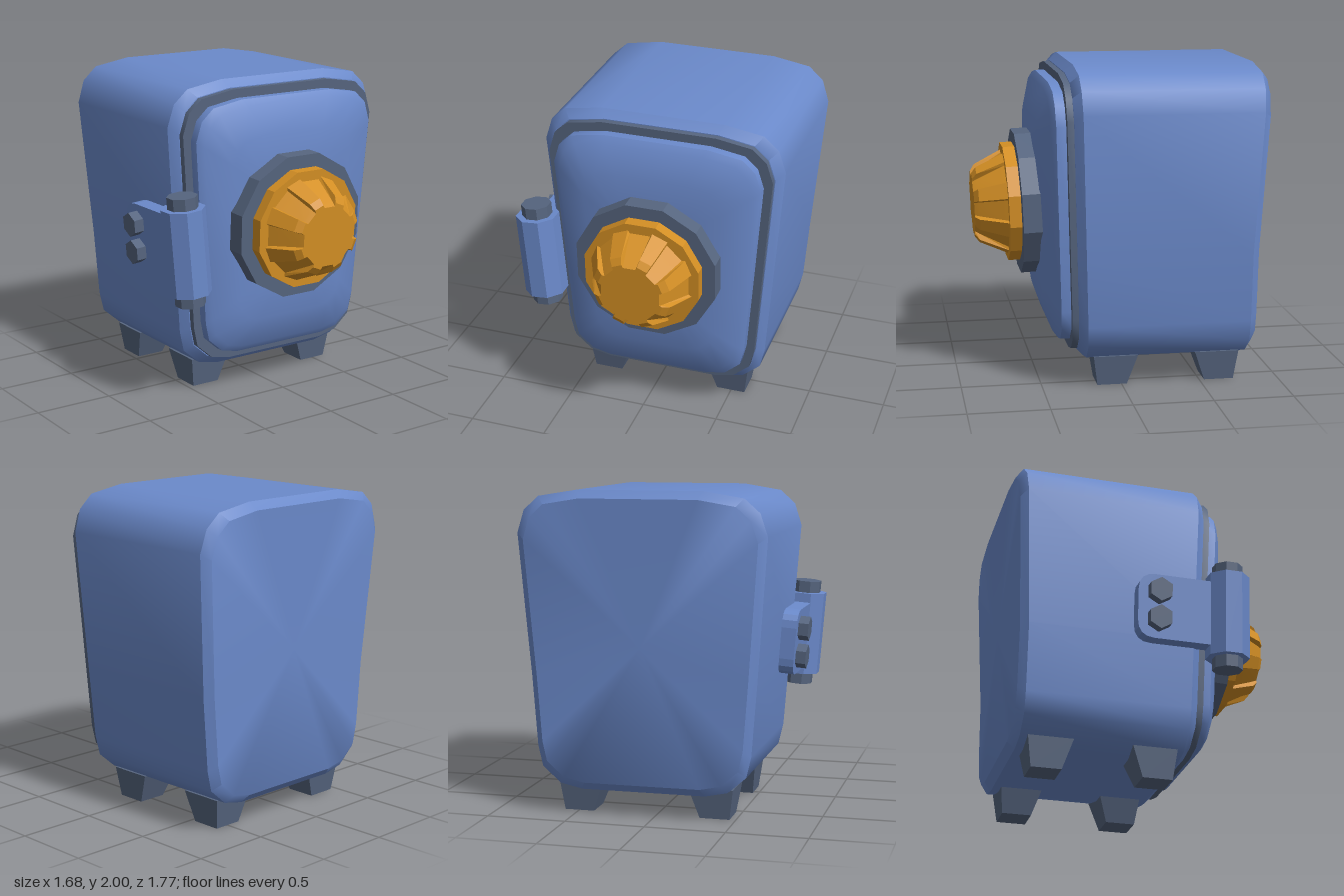
import * as THREE from 'three';
import { toCreasedNormals } from 'three/addons/utils/BufferGeometryUtils.js';

const CX = 0.065, CY = 1.0775;

// Right half of the rounded, tapering cabinet outline (x from the centre line, y), bottom to top
const HALF = [
  [0.39, 0.155], [0.53, 0.185], [0.645, 0.285], [0.675, 0.415], [0.708, 0.85],
  [0.775, 1.735], [0.73, 1.875], [0.635, 1.96], [0.39, 2.0],
];
const OUTLINE = [...HALF, ...HALF.map(([x, y]) => [-x, y]).reverse()];

// The front leans back towards the bottom; the back bends in below the top
const frontLean = (y) => -0.055 * (1.95 - y) / 1.75;
const backLean = (y) => 0.05 * Math.min(1, (1.95 - y) / 1.1);

// Outline inset by d at depth z
function ring(d, z, lean = frontLean) {
  return OUTLINE.map(([px, py]) => {
    const x = CX + px * (0.775 - d) / 0.775;
    const y = CY + (py - CY) * (0.9225 - d) / 0.9225;
    return [x, y, z + lean(y)];
  });
}

// Skin a list of rings running from back to front, closing both ends
function loft(rings, crease) {
  const n = rings[0].length, pos = rings.flat(2), idx = [];
  rings.slice(1).forEach((_, s) => {
    for (let i = 0; i < n; i++) {
      const j = (i + 1) % n, a = s * n, b = a + n;
      idx.push(a + i, a + j, b + j, a + i, b + j, b + i);
    }
  });
  [rings[0], rings[rings.length - 1]].forEach((r, end) => {
    const c = pos.length / 3, base = end ? (rings.length - 1) * n : 0;
    pos.push(...[0, 1, 2].map((k) => r.reduce((sum, p) => sum + p[k], 0) / n));
    for (let i = 0; i < n; i++) {
      const j = (i + 1) % n;
      if (end) idx.push(c, base + i, base + j);
      else idx.push(c, base + j, base + i);
    }
  });
  const g = new THREE.BufferGeometry();
  g.setAttribute('position', new THREE.Float32BufferAttribute(pos, 3));
  g.setIndex(idx);
  g.computeVertexNormals();
  return toCreasedNormals(g, crease);
}

export function createModel() {
  const paint = (name, color) => {
    const m = new THREE.MeshStandardMaterial({ color });
    m.name = name;
    return m;
  };
  const blue = paint('blue paint', 0x6b8acb);
  const steel = paint('dark steel', 0x56657f);
  const gold = paint('gold', 0xd48f24);

  const model = new THREE.Group();
  model.name = 'safe';
  const add = (parent, name, geometry, material) => {
    const mesh = new THREE.Mesh(geometry, material);
    mesh.name = name;
    parent.add(mesh);
    return mesh;
  };
  const group = (name, x, y, z) => {
    const g = new THREE.Group();
    g.name = name;
    g.position.set(x, y, z);
    model.add(g);
    return g;
  };
  const prism = (r, h, sides) => toCreasedNormals(
    new THREE.CylinderGeometry(r, r, h, sides).rotateY(Math.PI / sides), 0.2);

  // Cabinet with bevelled front and back edges
  add(model, 'cabinet', loft([
    ring(0.05, -0.885, backLean), ring(0, -0.84, backLean), ring(0, 0.28), ring(0.05, 0.33),
  ], 0.68), blue);

  // Dark frame and domed door
  add(model, 'doorFrame', loft([ring(0.055, 0.31), ring(0.055, 0.37)], 0.68), steel);
  add(model, 'door', loft([
    ring(0.11, 0.35), ring(0.11, 0.43), ring(0.15, 0.46), ring(0.33, 0.52), ring(0.55, 0.53),
  ], 0.68), blue);

  // Dial: backing plate, gold collar and fluted knob
  const dial = group('dial', 0.057, 1.09, 0.6);
  dial.rotation.x = 0.04;
  const disc = (name, r, z0, z1, material) => add(dial, name,
    prism(r, z1 - z0, 12).rotateX(Math.PI / 2).translate(0, 0, (z0 + z1) / 2), material);
  disc('dialPlate', 0.465, -0.16, 0, steel);
  disc('dialCollar', 0.38, -0.02, 0.075, gold);
  const knobRing = (rib, flute, z) => {
    const points = [];
    for (let k = 0; k < 8; k++) {
      [[-13.5, rib], [-12, flute], [12, flute], [13.5, rib]].forEach(([deg, r]) => {
        const a = k * Math.PI / 4 + deg * Math.PI / 180;
        points.push([r * Math.cos(a), r * Math.sin(a), z]);
      });
    }
    return points;
  };
  add(dial, 'knob', loft([
    knobRing(0.335, 0.315, 0.07), knobRing(0.25, 0.21, 0.25), knobRing(0.21, 0.19, 0.278),
  ], 0.2), gold);

  // Hinge on the right side, leaning with the wall
  const hinge = group('hinge', -0.695, 1.012, 0.45);
  hinge.rotation.z = 0.082;
  add(hinge, 'hingeBarrel', prism(0.138, 0.54, 8), blue);
  add(hinge, 'hingePin', prism(0.096, 0.69, 8), steel);

  const plate = new THREE.Shape();
  plate.moveTo(0, -0.21);
  plate.lineTo(0, 0.21);
  plate.lineTo(-0.48, 0.21);
  plate.quadraticCurveTo(-0.59, 0.21, -0.59, 0.1);
  plate.lineTo(-0.59, -0.1);
  plate.quadraticCurveTo(-0.59, -0.21, -0.48, -0.21);
  const plateGeometry = new THREE.ExtrudeGeometry(plate,
    { depth: 0.105, bevelEnabled: false, curveSegments: 4 });
  add(hinge, 'hingePlate', plateGeometry.rotateY(-Math.PI / 2).translate(0.05, 0, 0), blue);
  for (const y of [-0.09, 0.09]) {
    add(hinge, 'hingeBolt',
      prism(0.078, 0.09, 6).rotateZ(Math.PI / 2).translate(-0.075, y, -0.46), steel);
  }

  // Four feet, tapering more on their inner sides
  for (const sx of [-1, 1]) {
    for (const sz of [-1, 1]) {
      const g = new THREE.BoxGeometry(0.28, 0.19, 0.28).translate(0, 0.095, 0);
      const p = g.attributes.position;
      for (let i = 0; i < p.count; i++) {
        if (p.getY(i) > 0.01) continue;
        p.setX(i, p.getX(i) * 0.67 + sx * 0.02);
        p.setZ(i, p.getZ(i) * 0.67 + sz * 0.02);
      }
      g.computeVertexNormals();
      add(model, 'foot', g, steel).position.set(CX + sx * 0.4125, 0, -0.2825 + sz * 0.3225);
    }
  }

  return model;
}
